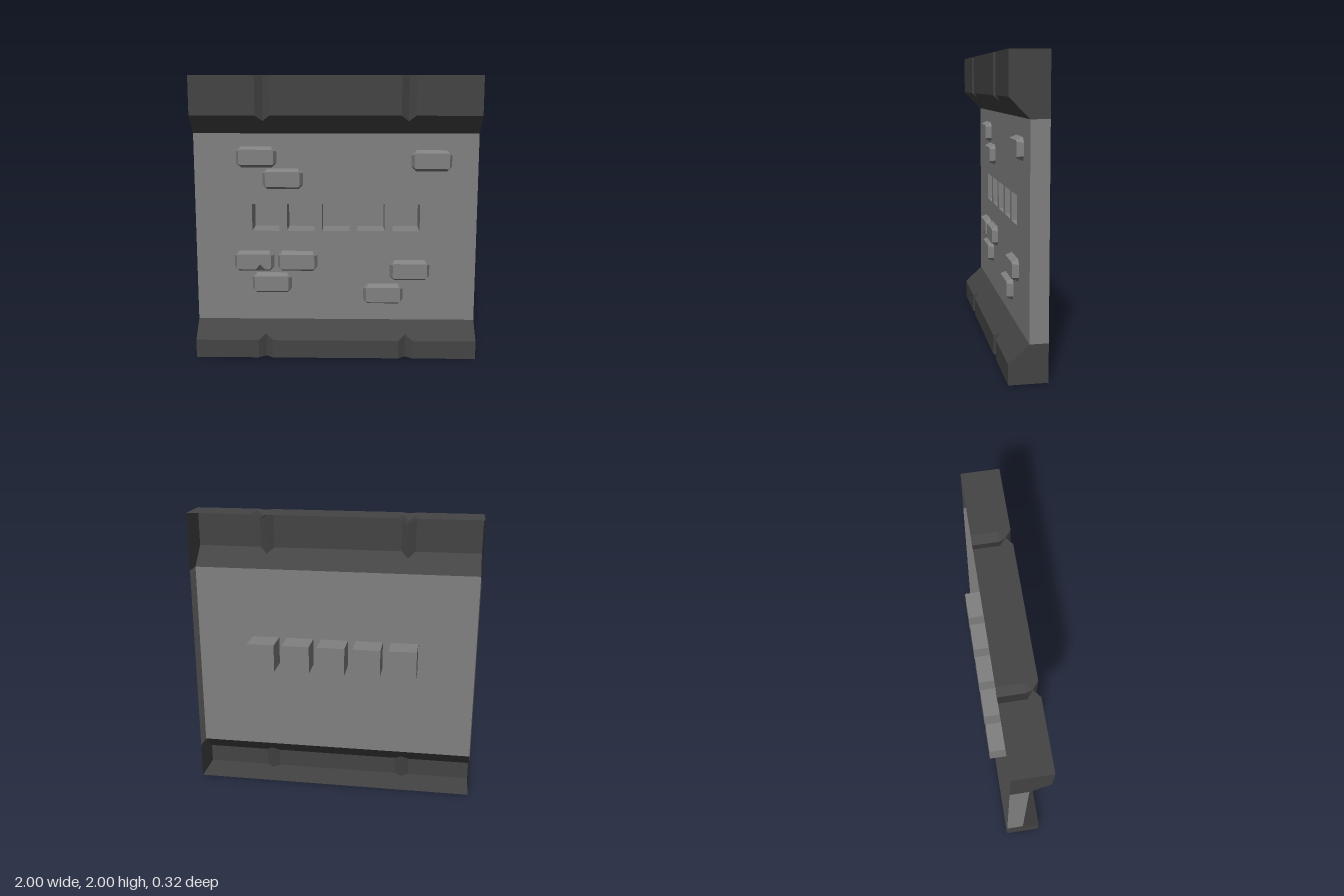
import * as THREE from 'three';

const BACK = -0.09, FACE = 0.03;
const makeMaterial = (color) =>
  new THREE.MeshStandardMaterial({ color, flatShading: true, side: THREE.DoubleSide });

function triangleMesh(name, tris, material) {
  const geo = new THREE.BufferGeometry();
  geo.setAttribute('position', new THREE.Float32BufferAttribute(tris.flat(), 3));
  geo.computeVertexNormals();
  const mesh = new THREE.Mesh(geo, material);
  mesh.name = name;
  return mesh;
}

// Skins a [y, z] profile along x, switching to the groove profile at x = ±0.5
function bandMesh(name, plain, groove, material) {
  const stations = [-1, -0.55, -0.5, -0.45, 0.45, 0.5, 0.55, 1];
  const section = (x) => (Math.abs(x) === 0.5 ? groove : plain).map(([y, z]) => [x, y, z]);
  const tris = [];
  for (let i = 0; i < stations.length - 1; i++) {
    const p = section(stations[i]), q = section(stations[i + 1]);
    for (let j = 0; j < p.length - 1; j++) {
      tris.push(p[j], q[j], q[j + 1], p[j], q[j + 1], p[j + 1]);
    }
  }
  // End caps, closed down to the open back
  const inner = plain.find(([, z]) => z === FACE);
  const outline = [...plain, [inner[0], BACK]];
  if (plain[0] === inner) outline.push(inner);
  for (const x of [-1, 1]) {
    const c = [x, inner[0], BACK];
    for (let j = 0; j < outline.length - 1; j++) {
      const a = [x, ...outline[j]], b = [x, ...outline[j + 1]];
      tris.push(c, ...(x < 0 ? [a, b] : [b, a]));
    }
  }
  return triangleMesh(name, tris.map((v) => v), material);
}

// Counter-clockwise rectangle with cut corners, optionally dented on its lower edge
function brickLoop(w, h, cut, dent, rise) {
  const loop = [[-w + cut, -h]];
  if (dent) loop.push([0.012, -h], [0.045, -h + rise], [0.078, -h]);
  loop.push([w - cut, -h], [w, -h + cut], [w, h - cut], [w - cut, h],
    [-w + cut, h], [-w, h - cut], [-w, -h + cut]);
  return loop.map(([x, y]) => new THREE.Vector2(x, y));
}

function brickMesh(x, y, dent, material) {
  const depth = 0.043;
  const base = brickLoop(0.142, 0.074, 0.032, dent, 0);
  const front = brickLoop(0.122, 0.054, 0.008, dent, 0.035);
  const lo = base.map((p) => [p.x, p.y, 0]);
  const hi = front.map((p) => [p.x, p.y, depth]);
  const tris = [];
  lo.forEach((a, i) => {
    const k = (i + 1) % lo.length;
    tris.push(a, lo[k], hi[k], a, hi[k], hi[i]);
  });
  for (const face of THREE.ShapeUtils.triangulateShape(front, [])) {
    tris.push(...face.map((i) => hi[i]));
  }
  const mesh = triangleMesh('raisedBrick', tris, material);
  mesh.position.set(x, y, FACE);
  return mesh;
}

export function createModel() {
  const group = new THREE.Group();
  group.name = 'wallPanel';
  const stone = makeMaterial(0x808080);
  const trim = makeMaterial(0x444444);
  const slots = [-0.5, -0.25, 0, 0.25, 0.5];

  // Wall sheet with five square openings
  const sheet = new THREE.Shape();
  sheet.moveTo(-1, 0.25).lineTo(1, 0.25).lineTo(1, 1.6).lineTo(-1, 1.6).closePath();
  for (const x of slots) {
    const hole = new THREE.Path();
    hole.moveTo(x - 0.097, 0.905).lineTo(x - 0.097, 1.1)
      .lineTo(x + 0.097, 1.1).lineTo(x + 0.097, 0.905).closePath();
    sheet.holes.push(hole);
  }
  const wall = new THREE.Mesh(new THREE.ShapeGeometry(sheet), stone);
  wall.name = 'wallFace';
  wall.position.z = FACE;
  group.add(wall);

  // Side edges of the wall
  for (const s of [-1, 1]) {
    const edge = new THREE.Mesh(new THREE.PlaneGeometry(FACE - BACK, 1.35), stone);
    edge.name = s > 0 ? 'leftEdge' : 'rightEdge';
    edge.rotation.y = s * Math.PI / 2;
    edge.position.set(s, 0.925, (FACE + BACK) / 2);
    group.add(edge);
  }

  // Recessed pockets, open at the front
  for (const x of slots) {
    const geo = new THREE.BoxGeometry(0.194, 0.195, 0.186);
    geo.setIndex(Array.from(geo.index.array).filter((_, i) => i < 24 || i >= 30));
    const pocket = new THREE.Mesh(geo, stone);
    pocket.name = 'recessPocket';
    pocket.position.set(x, 1.0025, FACE - 0.093);
    group.add(pocket);
  }

  // Top band: grooved on its front, with a second groove along its top
  group.add(bandMesh('topBand',
    [[1.6, FACE], [1.73, 0.16], [2, 0.16], [2, 0.08], [2, 0.08], [2, BACK]],
    [[1.6, FACE], [1.69, 0.12], [2, 0.12], [2, 0.12], [1.96, 0.08], [1.96, BACK]], trim));

  // Bottom band: grooved on its front only
  group.add(bandMesh('bottomBand',
    [[0, BACK], [0, 0.16], [0.13, 0.16], [0.25, FACE]],
    [[0, BACK], [0, 0.12], [0.167, 0.12], [0.25, FACE]], trim));

  // Scattered raised bricks, one of them chipped
  const bricks = [[-0.56, 1.435], [-0.375, 1.28], [0.673, 1.41], [-0.585, 0.685, true],
    [-0.275, 0.685], [-0.46, 0.525], [0.53, 0.62], [0.34, 0.445]];
  for (const [x, y, dent] of bricks) group.add(brickMesh(x, y, dent, stone));

  return group;
}
